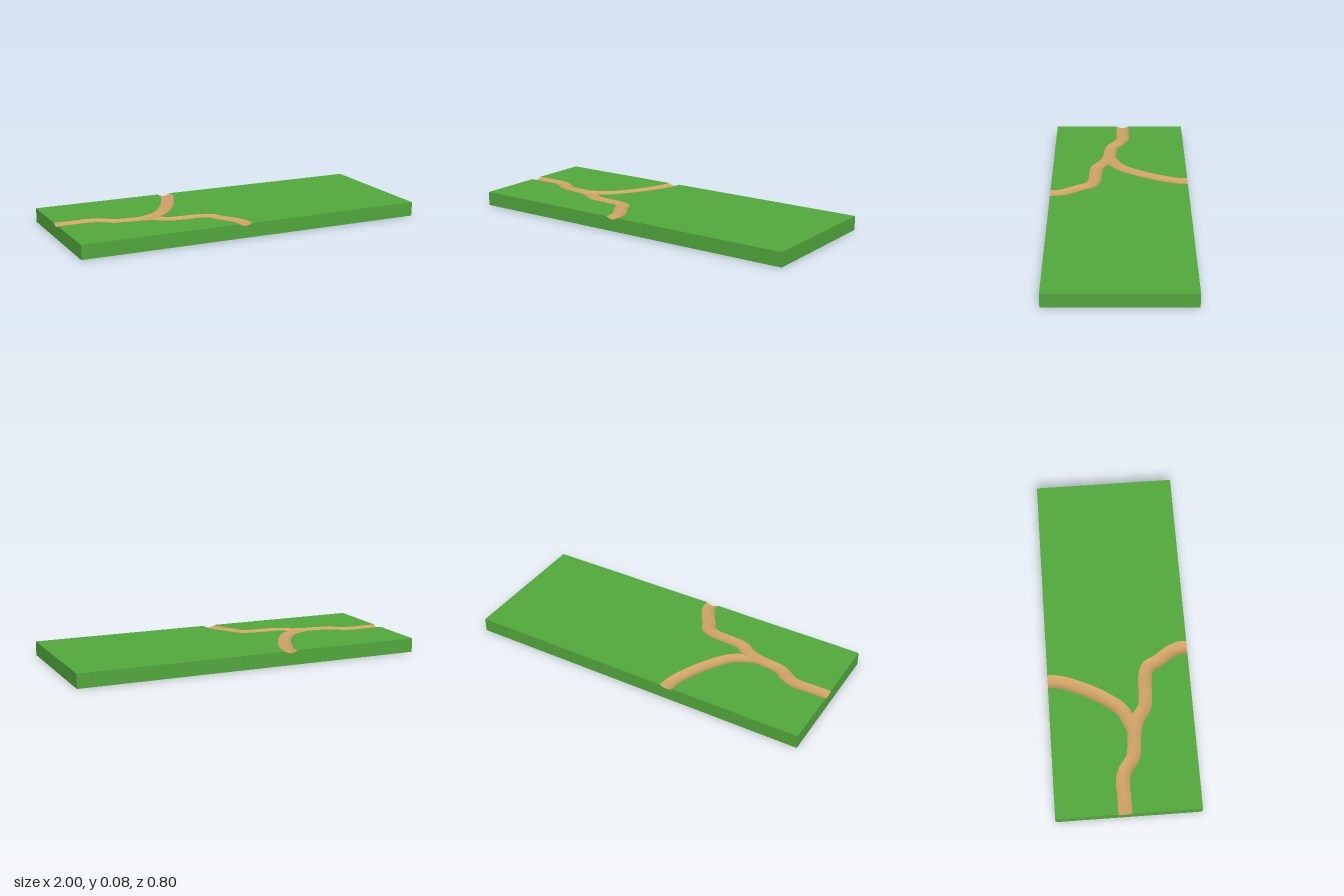
import * as THREE from 'three';

const HX = 1, HZ = 0.4, TOP = 0.08;   // slab half sizes and height
const W = 0.038, DEPTH = 0.012;       // channel half width and depth
const N = 200, ACROSS = 12;           // samples along and across a channel

const grass = new THREE.MeshStandardMaterial({ color: 0x52a83c });
const earth = new THREE.MeshStandardMaterial({ color: 0xcfa266, side: THREE.DoubleSide });

// Sample a centre line (x, z) with its normal pointing to the left of travel
function makePath(points) {
  const curve = new THREE.CatmullRomCurve3(points.map(([x, z]) => new THREE.Vector3(x, 0, z)));
  return Array.from({ length: N + 1 }, (_, i) => {
    const p = curve.getPointAt(i / N), t = curve.getTangentAt(i / N);
    return { x: p.x, z: p.z, nx: t.z, nz: -t.x };
  });
}

const mainPath = makePath([
  [-1, -0.02], [-0.9, -0.02], [-0.81, -0.02], [-0.755, 0], [-0.695, 0.042], [-0.64, 0.055],
  [-0.54, 0.066], [-0.47, 0.09], [-0.41, 0.13], [-0.36, 0.14], [-0.22, 0.15], [-0.17, 0.172],
  [-0.143, 0.225], [-0.09, 0.305], [-0.071, 0.36], [-0.07, 0.4],
]);
const branchPath = makePath([
  [-0.55, 0.066], [-0.49, 0.044], [-0.41, 0], [-0.33, -0.105], [-0.265, -0.23],
  [-0.228, -0.33], [-0.22, -0.38], [-0.22, -0.4],
]);
const allSamples = [...mainPath, ...branchPath];

function distance(x, z) {
  let best = Infinity;
  for (const s of allSamples) best = Math.min(best, (s.x - x) ** 2 + (s.z - z) ** 2);
  return Math.sqrt(best);
}
const height = (d) => TOP - DEPTH * Math.max(0, 1 - (d / W) ** 2);

// Point beside a path sample, kept inside the slab; ends sit on its border
function beside(path, i, offset) {
  const s = path[i];
  let x = s.x + s.nx * offset, z = s.z + s.nz * offset;
  if (Math.abs(s.x) > HX - 1e-4) x = Math.sign(s.x) * HX;
  if (Math.abs(s.z) > HZ - 1e-4) z = Math.sign(s.z) * HZ;
  return [THREE.MathUtils.clamp(x, -HX, HX), THREE.MathUtils.clamp(z, -HZ, HZ)];
}

// One rim of a channel, without the parts that fall inside any channel
function rim(path, side) {
  return path.map((_, i) => beside(path, i, side * W))
    .filter(([x, z]) => distance(x, z) > W * 0.985);
}

function addMesh(group, name, geometry, material) {
  const mesh = new THREE.Mesh(geometry, material);
  mesh.name = name;
  group.add(mesh);
  return mesh;
}

// Flat piece of the upper surface
function topGeometry(outline) {
  const shape = new THREE.Shape(outline.map(([x, z]) => new THREE.Vector2(x, -z)));
  return new THREE.ShapeGeometry(shape).rotateX(-Math.PI / 2).translate(0, TOP, 0);
}

// Side wall, notched where a channel runs out
function wallGeometry(half, notch) {
  const pts = [[-half, 0], [half, 0], [half, TOP]];
  if (notch !== undefined) {
    for (let j = ACROSS; j >= 0; j--) {
      const d = (j / ACROSS * 2 - 1) * W;
      pts.push([notch + d, height(Math.abs(d))]);
    }
  }
  pts.push([-half, TOP]);
  return new THREE.ShapeGeometry(new THREE.Shape(pts.map(([x, y]) => new THREE.Vector2(x, y))));
}

// Dished floor swept along a path
function channelGeometry(path) {
  const positions = [], index = [], row = ACROSS + 1;
  for (let i = 0; i <= N; i++) {
    for (let j = 0; j <= ACROSS; j++) {
      const [x, z] = beside(path, i, W * (1 - 2 * j / ACROSS));
      positions.push(x, height(distance(x, z)), z);
      if (i < N && j < ACROSS) {
        const a = i * row + j, c = a + row;
        index.push(a, a + 1, c, a + 1, c + 1, c);
      }
    }
  }
  const geometry = new THREE.BufferGeometry();
  geometry.setAttribute('position', new THREE.Float32BufferAttribute(positions, 3));
  geometry.setIndex(index);
  geometry.computeVertexNormals();
  return geometry;
}

export function createModel() {
  const group = new THREE.Group();
  group.name = 'grassTileWithForkedPath';

  // Grass surfaces between the channels
  const mainLeft = rim(mainPath, 1), mainRight = rim(mainPath, -1);
  const branchLeft = rim(branchPath, 1), branchRight = rim(branchPath, -1);
  const fork = -0.48;
  addMesh(group, 'grassBack', topGeometry(
    [[-HX, -HZ], ...mainLeft.filter(([x]) => x < fork), ...branchLeft]), grass);
  addMesh(group, 'grassFront', topGeometry([[-HX, HZ], ...mainRight]), grass);
  addMesh(group, 'grassSide', topGeometry(
    [[HX, HZ], [HX, -HZ], ...branchRight.reverse(), ...mainLeft.filter(([x]) => x > fork)]), grass);

  // Path channels
  addMesh(group, 'mainPath', channelGeometry(mainPath), earth);
  addMesh(group, 'branchPath', channelGeometry(branchPath), earth);

  // Slab sides and underside
  addMesh(group, 'frontWall', wallGeometry(HX, -0.07).translate(0, 0, HZ), grass);
  addMesh(group, 'backWall', wallGeometry(HX, 0.22).rotateY(Math.PI).translate(0, 0, -HZ), grass);
  addMesh(group, 'rightWall', wallGeometry(HZ, -0.02).rotateY(-Math.PI / 2).translate(-HX, 0, 0), grass);
  addMesh(group, 'leftWall', wallGeometry(HZ).rotateY(Math.PI / 2).translate(HX, 0, 0), grass);
  addMesh(group, 'underside', new THREE.PlaneGeometry(2 * HX, 2 * HZ).rotateX(Math.PI / 2), grass);
  return group;
}
